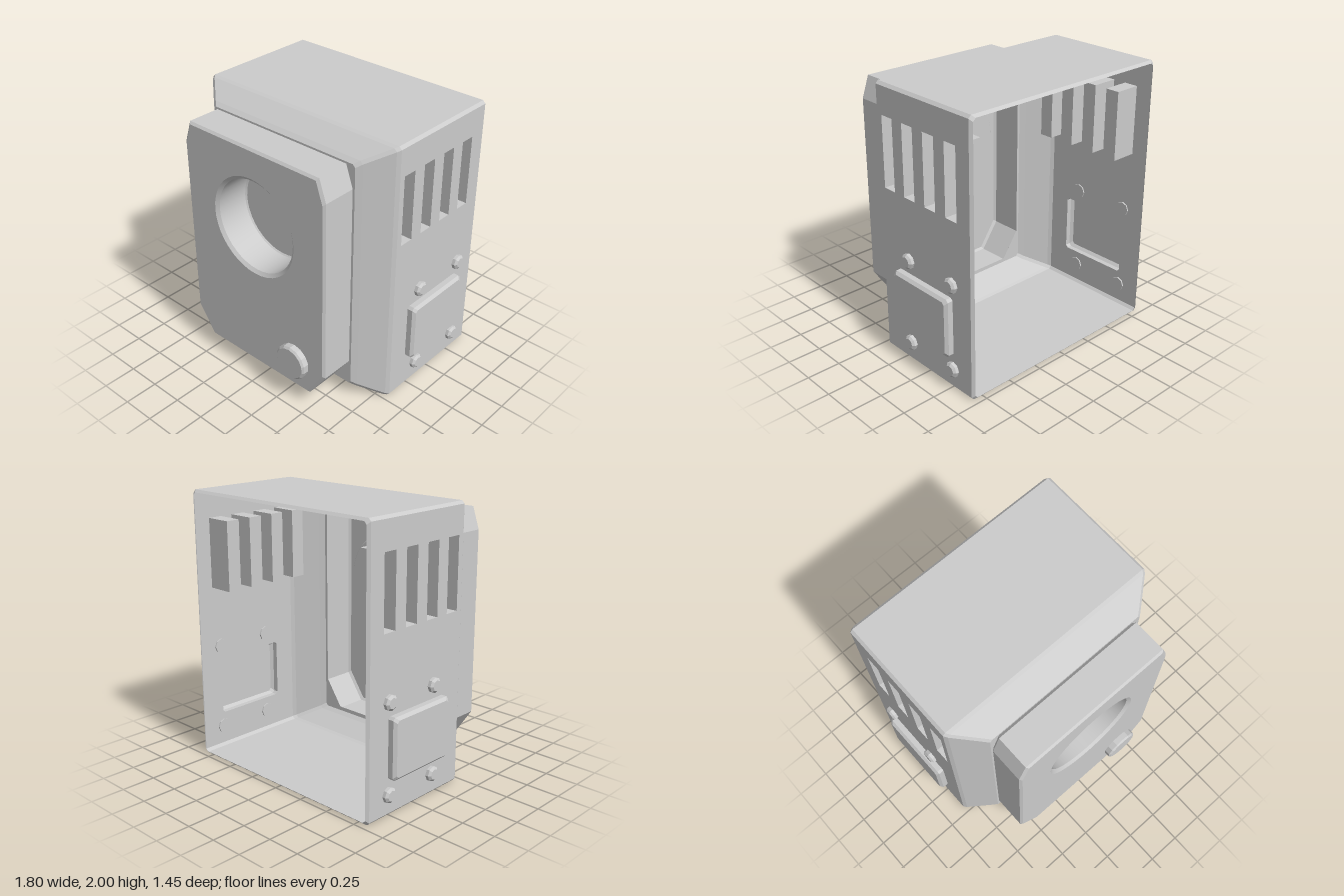
import * as THREE from 'three';
import { toCreasedNormals } from 'three/addons/utils/BufferGeometryUtils.js';

const flat = new THREE.MeshStandardMaterial({ color: 0xcccccc, flatShading: true, side: THREE.DoubleSide });
const smooth = new THREE.MeshStandardMaterial({ color: 0xcccccc, side: THREE.DoubleSide });

function add(parent, name, geometry, material = flat) {
  const mesh = new THREE.Mesh(geometry, material);
  mesh.name = name;
  parent.add(mesh);
  return mesh;
}

// Rectangle with cut corners, counter-clockwise
function rect(x0, x1, y0, y1, c = 0) {
  const p = c
    ? [[x0 + c, y0], [x1 - c, y0], [x1, y0 + c], [x1, y1 - c], [x1 - c, y1], [x0 + c, y1], [x0, y1 - c], [x0, y0 + c]]
    : [[x0, y0], [x1, y0], [x1, y1], [x0, y1]];
  return p.map(([x, y]) => new THREE.Vector2(x, y));
}

// Skin through outlines, each { z, p }; the last one can be capped
function loft(rings, { cap = false, closed = true } = {}) {
  const v = [];
  const put = (q, z) => v.push(q.x, q.y, z);
  for (let r = 0; r + 1 < rings.length; r++) {
    const a = rings[r], b = rings[r + 1], n = a.p.length;
    for (let i = 0; i < (closed ? n : n - 1); i++) {
      const j = (i + 1) % n;
      put(a.p[i], a.z); put(a.p[j], a.z); put(b.p[j], b.z);
      put(a.p[i], a.z); put(b.p[j], b.z); put(b.p[i], b.z);
    }
  }
  if (cap) {
    const { z, p } = rings[rings.length - 1];
    for (let i = 1; i + 1 < p.length; i++) {
      put(p[0], z); put(p[i], z); put(p[i + 1], z);
    }
  }
  const g = new THREE.BufferGeometry();
  g.setAttribute('position', new THREE.Float32BufferAttribute(v, 3));
  g.computeVertexNormals();
  return g;
}

// Flat sheet with holes
function sheet(outline, holes) {
  const shape = new THREE.Shape(outline);
  holes.forEach((h) => shape.holes.push(new THREE.Path(h)));
  return new THREE.ShapeGeometry(shape);
}

// Turned part along z, from [radius, z] pairs
function turned(profile, sides) {
  const g = new THREE.LatheGeometry(profile.map(([r, z]) => new THREE.Vector2(r, z)), sides);
  return g.rotateX(Math.PI / 2);
}

function circle(cx, cy, r, n) {
  return Array.from({ length: n }, (_, i) => {
    const a = (i / n) * Math.PI * 2;
    return new THREE.Vector2(cx + r * Math.cos(a), cy + r * Math.sin(a));
  });
}

// Front panel outline with slanted corners
function panelOutline(inset = 0) {
  const sx = 1 - inset / 0.635, sy = 1 - inset / 0.875, cy = 1.005;
  const half = [[0.49, 0.13], [0.635, 0.34], [0.635, 1.72], [0.58, 1.88]];
  const all = [...half, ...half.map(([x, y]) => [-x, y]).reverse()];
  return all.map(([x, y]) => new THREE.Vector2(x * sx, cy + (y - cy) * sy));
}

// One side wall; local x is -z of the model, local z is outward
function makeSide() {
  const side = new THREE.Group();
  side.rotation.y = Math.PI / 2;
  const W = 0.84;
  const slots = [-0.155, 0.053, 0.262, 0.47].map((u) => rect(u, u + 0.108, 1.265, 1.78));
  const plate = (i) => rect(-0.037 + i, 0.523 - i, 0.265 + i, 0.705 - i, 0.018);

  add(side, 'sideWall', sheet(rect(-0.2, 0.7, 0.02, 1.98), [...slots, plate(0)])).position.z = W;
  slots.forEach((p) => add(side, 'ventPocket', loft([{ z: W, p }, { z: W - 0.2, p }], { cap: true })));
  add(side, 'sidePlate', loft([
    { z: W, p: plate(0) }, { z: 0.88, p: plate(0) }, { z: 0.9, p: plate(0.02) },
  ], { cap: true }));

  const bolt = turned([[0, 0.83], [0.055, 0.83], [0.055, 0.863], [0.038, 0.878], [0, 0.878]], 8);
  for (const u of [0.08, 0.52]) {
    for (const y of [0.16, 0.805]) add(side, 'bolt', bolt).position.set(u, y, 0);
  }
  return side;
}

export function createModel() {
  const model = new THREE.Group();
  model.name = 'housing';

  // Body shell, open at the back
  const body = new THREE.Group();
  body.name = 'body';
  model.add(body);
  const ring = (z, ix, iy) => ({ z, p: rect(-0.84 + ix, 0.84 - ix, iy, 2 - iy, 0.02) });
  add(body, 'backRim', loft([ring(-0.72, 0.018, 0.018), ring(-0.7, 0, 0)]));
  const taper = [ring(0.2, 0, 0), ring(0.225, 0.018, 0.01), ring(0.36, 0.17, 0.095), ring(0.39, 0.205, 0.12)];
  add(body, 'frontTaper', loft(taper));
  add(body, 'frontFrame', sheet(taper[3].p, [panelOutline(0.02)])).position.z = 0.39;

  const outline = ring(0, 0, 0).p;
  const strips = {
    topWall: [3, 4, 5, 6],
    bottomWall: [7, 0, 1, 2],
  };
  for (const [name, ids] of Object.entries(strips)) {
    const p = ids.map((i) => outline[i]);
    add(body, name, loft([{ z: -0.7, p }, { z: 0.2, p }], { closed: false }));
  }

  // Side walls with vents, plate and bolts
  for (const s of [1, -1]) {
    const holder = new THREE.Group();
    holder.name = s > 0 ? 'leftSide' : 'rightSide';
    holder.scale.x = s;
    holder.add(makeSide());
    model.add(holder);
  }

  // Raised front panel
  const panel = new THREE.Group();
  panel.name = 'frontPanel';
  model.add(panel);
  add(panel, 'panelEdge', loft([
    { z: 0.39, p: panelOutline(0.02) }, { z: 0.41, p: panelOutline() },
    { z: 0.655, p: panelOutline() }, { z: 0.67, p: panelOutline(0.017) },
  ]));
  add(panel, 'panelFace', sheet(panelOutline(0.017), [circle(0, 1.29, 0.37, 40)])).position.z = 0.67;

  // Round recess in the panel
  const recess = turned([[0.37, 0.67], [0.345, 0.65], [0.345, 0.41], [0.335, 0.4], [0, 0.4]], 40);
  add(panel, 'roundRecess', toCreasedNormals(recess, 0.5), smooth).position.y = 1.29;

  // Small button
  const button = turned([[0, 0.645], [0.132, 0.645], [0.132, 0.712], [0.118, 0.725], [0, 0.725]], 14);
  add(panel, 'button', button).position.set(0.36, 0.36, 0);

  return model;
}
